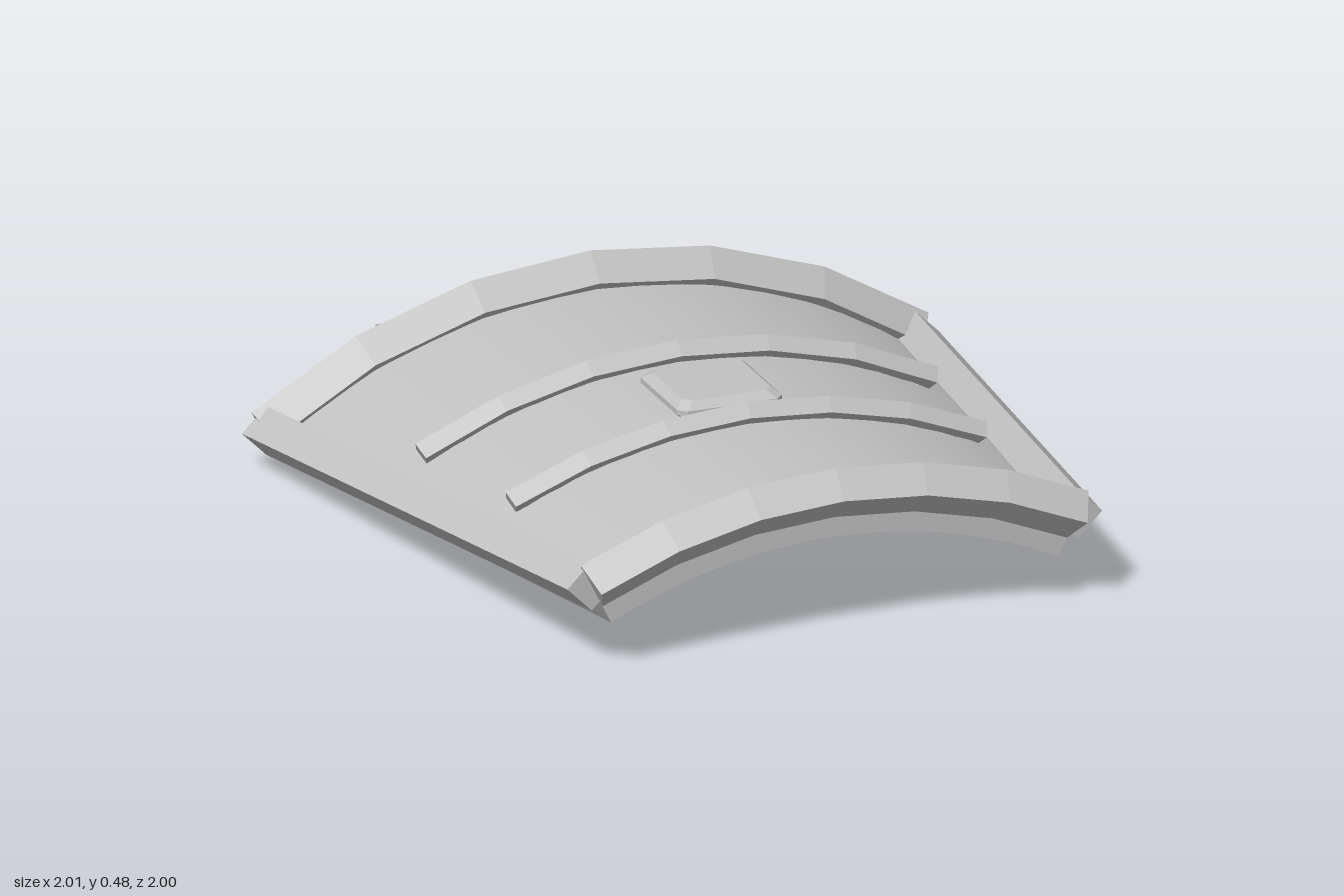
import * as THREE from 'three';
import { toCreasedNormals } from 'three/addons/utils/BufferGeometryUtils.js';

// All curved parts share one cylinder axis running along z at height AXIS_Y.
const AXIS_Y = -1.16, R_MID = 1.57, R_OUT = 1.545, R_IN = 1.444;
const BACK = -0.8, FRONT = 0.93;
const BACK_ANGLE = THREE.MathUtils.degToRad(36.5);
const FRONT_ANGLE = THREE.MathUtils.degToRad(26.5);

const polar = (r, a, z) => [r * Math.sin(a), AXIS_Y + r * Math.cos(a), z];

// Skins a list of convex rings with end caps; faces are turned outward by signed volume.
function loft(rings, crease = 0.1) {
  const tris = [];
  const n = rings[0].length;
  for (let i = 0; i < rings.length - 1; i++) {
    for (let j = 0; j < n; j++) {
      const k = (j + 1) % n;
      const a = rings[i][j], b = rings[i][k], c = rings[i + 1][k], d = rings[i + 1][j];
      tris.push([a, b, c], [a, c, d]);
    }
  }
  const first = rings[0], last = rings[rings.length - 1];
  for (let j = 1; j < n - 1; j++) {
    tris.push([first[0], first[j + 1], first[j]], [last[0], last[j], last[j + 1]]);
  }
  let volume = 0;
  for (const t of tris) {
    const [a, b, c] = t.map((p) => new THREE.Vector3(...p));
    volume += a.dot(b.cross(c));
  }
  if (volume < 0) tris.forEach((t) => t.reverse());
  const geometry = new THREE.BufferGeometry();
  geometry.setAttribute('position', new THREE.Float32BufferAttribute(tris.flat(2), 3));
  return toCreasedNormals(geometry, crease);
}

// Diamond-section beam bent along the arc at a given z.
function arcBeam(z, angle, half, segments = 6) {
  const rings = [];
  for (let i = 0; i <= segments; i++) {
    const a = angle * (2 * i / segments - 1);
    rings.push([
      polar(R_MID + half, a, z), polar(R_MID, a, z + half),
      polar(R_MID - half, a, z), polar(R_MID, a, z - half),
    ]);
  }
  return loft(rings);
}

// Tapered curved panel: a thick arc that is wider at the back.
function panel(segments = 16) {
  const rings = [];
  for (let i = 0; i <= segments; i++) {
    const u = 2 * i / segments - 1;
    const b = u * BACK_ANGLE, f = u * FRONT_ANGLE;
    rings.push([
      polar(R_OUT, b, BACK), polar(R_OUT, f, FRONT),
      polar(R_IN, f, FRONT), polar(R_IN, b, BACK),
    ]);
  }
  return loft(rings, 0.5);
}

// Straight diamond-section beam along one slanted side.
function sideBeam(side, half) {
  return loft([[BACK, BACK_ANGLE], [FRONT, FRONT_ANGLE]].map(([z, angle]) => {
    const [x, y] = polar(R_MID, side * angle, z);
    return [[x, y + half, z], [x + half, y, z], [x, y - half, z], [x - half, y, z]];
  }));
}

// Chamfered square plate at the crown, as stacked octagons.
function crownPlate() {
  const cz = 0.057, cut = 0.022;
  const levels = [[0.372, 0.138], [0.385, 0.151], [0.4, 0.151], [0.42, 0.127]];
  return loft(levels.map(([y, h]) => {
    const q = h - cut;
    return [[q, h], [h, q], [h, -q], [q, -h], [-q, -h], [-h, -q], [-h, q], [-q, h]]
      .map(([x, z]) => [x, y, cz + z]);
  }));
}

// Tapering tab sticking out behind the back rim.
function backTab(x) {
  const sections = [[-0.8, 0.09, 0.245, 0.325], [-0.87, 0.078, 0.245, 0.31], [-1, 0.058, 0.235, 0.275]];
  return loft(sections.map(([z, w, low, high]) =>
    [[x - w, low, z], [x + w, low, z], [x + w, high, z], [x - w, high, z]]));
}

export function createModel() {
  const group = new THREE.Group();
  const grey = new THREE.MeshStandardMaterial({ color: 0xc2c2c2 });
  grey.name = 'grey';
  const add = (name, geometry) => {
    const mesh = new THREE.Mesh(geometry, grey);
    mesh.name = name;
    group.add(mesh);
  };

  add('curvedPanel', panel());
  add('frontRim', arcBeam(FRONT, FRONT_ANGLE, 0.07));
  add('backRim', arcBeam(BACK, BACK_ANGLE, 0.07));
  add('frontRib', arcBeam(0.305, THREE.MathUtils.degToRad(25.6), 0.035));
  add('backRib', arcBeam(-0.187, THREE.MathUtils.degToRad(28), 0.035));
  add('crownPlate', crownPlate());

  for (const side of [1, -1]) {
    const label = side > 0 ? 'left' : 'right';
    add(label + 'SideRim', sideBeam(side, 0.07));
    add(label + 'BackTab', backTab(side * 0.48));
  }
  return group;
}
